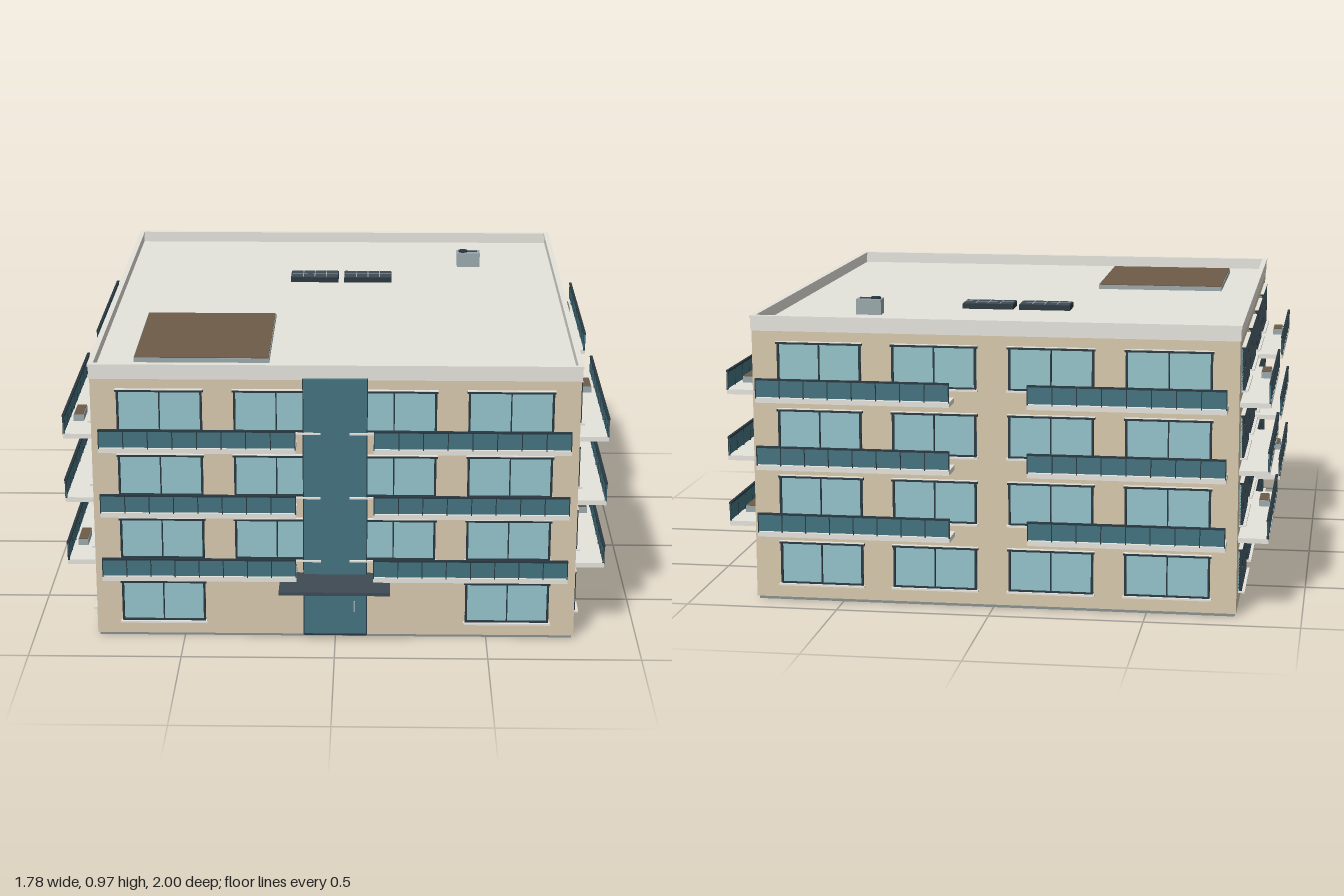
import * as THREE from 'three';

export function createModel() {
  const model = new THREE.Group();
  model.name = 'apartmentBlock';

  const mat = (name, color) => {
    const m = new THREE.MeshStandardMaterial({ color });
    m.name = name;
    return m;
  };
  const wall = mat('sandWall', 0xd8c8ad);
  const concrete = mat('lightConcrete', 0xe5e3dc);
  const teal = mat('tealGlass', 0x42727f);
  const pane = mat('paleGlass', 0x93c3ca);
  const frame = mat('darkFrame', 0x293840);
  const soil = mat('brownSoil', 0x6d5c47);
  const slate = mat('slate', 0x3e4a54);
  const base = mat('baseGrey', 0x889090);
  const metal = mat('metal', 0x9aa8ab);

  // Box given by its minimum and maximum on each axis
  const box = (parent, name, material, x0, x1, y0, y1, z0, z1) => {
    const m = new THREE.Mesh(new THREE.BoxGeometry(x1 - x0, y1 - y0, z1 - z0), material);
    m.position.set((x0 + x1) / 2, (y0 + y1) / 2, (z0 + z1) / 2);
    m.name = name;
    parent.add(m);
  };

  const HX = 0.79, HZ = 0.865, CZ = -0.035; // half sizes and centre of the body
  const FLOOR = 0.221;

  // Body, base and roof, built around the body's own centre
  const body = new THREE.Group();
  body.name = 'body';
  body.position.z = CZ;
  model.add(body);
  box(body, 'plinth', base, -HX + 0.006, HX - 0.006, 0, 0.01, -HZ + 0.006, HZ - 0.006);
  box(body, 'walls', wall, -HX, HX, 0.01, 0.897, -HZ, HZ);
  box(body, 'roofDeck', concrete, -HX, HX, 0.897, 0.908, -HZ, HZ);

  // Parapet ring
  const ring = (name, hx, hz, t, y0, y1) => {
    for (const s of [-1, 1]) {
      const a = s * hx, b = s * (hx - t), c = s * hz, d = s * (hz - t);
      box(body, name, concrete, Math.min(a, b), Math.max(a, b), y0, y1, -hz, hz);
      box(body, name, concrete, -hx + t, hx - t, y0, y1, Math.min(c, d), Math.max(c, d));
    }
  };
  ring('parapet', HX + 0.003, HZ + 0.003, 0.012, 0.897, 0.938);
  ring('coping', HX + 0.006, HZ + 0.006, 0.018, 0.938, 0.947);

  // Window with two panes; z = 0 is the wall face
  const addWindow = (face, u, top, w) => {
    const g = new THREE.Group();
    g.name = 'window';
    g.position.set(u, top - 0.142, 0);
    face.add(g);
    const h = 0.142, r = w / 2, t = 0.007;
    box(g, 'panes', pane, -r, r, 0, h, 0, 0.005);
    for (const s of [-1, 1]) box(g, 'frameSide', frame, s * (r - t / 2) - t / 2, s * (r - t / 2) + t / 2, 0, h, 0, 0.012);
    box(g, 'mullion', frame, -0.002, 0.002, 0, h, 0, 0.012);
    box(g, 'frameTop', frame, -r - 0.004, r + 0.004, h - t, h, 0, 0.012);
    box(g, 'headCap', concrete, -r - 0.004, r + 0.004, h, h + 0.002, 0, 0.013);
    box(g, 'frameBottom', frame, -r, r, 0, t, 0, 0.012);
    box(g, 'sill', concrete, -r - 0.005, r + 0.005, -0.004, 0.002, 0, 0.022);
  };

  // Balcony slab with glazed railing along its outer edge
  const addBalcony = (face, u, level, half, planted) => {
    const g = new THREE.Group();
    g.name = 'balcony';
    g.position.set(u, 0.236 + (level - 1) * FLOOR, 0);
    face.add(g);
    box(g, 'slab', concrete, -half, half, 0, 0.016, 0, 0.098);
    box(g, 'railGlass', teal, -half, half, 0.019, 0.074, 0.093, 0.097);
    box(g, 'handrail', frame, -half, half, 0.073, 0.079, 0.091, 0.1);
    for (let i = 0; i <= 8; i++) {
      const x = -half + 0.0015 + (i / 8) * (2 * half - 0.003);
      box(g, 'railPost', frame, x - 0.0015, x + 0.0015, 0.014, 0.074, 0.092, 0.0985);
    }
    if (planted) {
      box(g, 'planter', metal, 0.115, 0.215, 0.016, 0.037, 0.045, 0.079);
      box(g, 'planterSoil', soil, 0.117, 0.213, 0.037, 0.04, 0.047, 0.077);
    }
  };

  // The four facades; u runs to the right as seen from outside
  const longSide = { wins: [-0.567, -0.19, 0.19, 0.567], w: 0.276, bals: [-0.441, 0.441], half: 0.316 };
  const shortSide = (s) => ({
    wins: [-0.65, -0.24, 0.17, 0.585].map((z) => s * (z - CZ)), w: 0.3,
    bals: [-0.517, 0.442].map((z) => s * (z - CZ)), half: 0.345,
  });
  const faces = [
    { name: 'frontFacade', dist: HZ, ...longSide },
    { name: 'leftFacade', dist: HX, ...shortSide(-1) },
    { name: 'backFacade', dist: HZ, ...longSide },
    { name: 'rightFacade', dist: HX, ...shortSide(1) },
  ];
  faces.forEach((f, turn) => {
    const pivot = new THREE.Group();
    pivot.rotation.y = (turn * Math.PI) / 2;
    pivot.name = f.name;
    body.add(pivot);
    const face = new THREE.Group();
    face.position.z = f.dist;
    pivot.add(face);
    for (let level = 0; level < 4; level++) {
      for (const u of f.wins) {
        if (turn === 0 && level === 0 && Math.abs(u) < 0.3) continue; // entrance
        addWindow(face, u, 0.2 + level * FLOOR, f.w);
      }
      if (level > 0) for (const u of f.bals) addBalcony(face, u, level, f.half, level !== 2);
    }
  });

  // Glazed stair front with entrance door and canopy
  const entrance = new THREE.Group();
  entrance.name = 'entrance';
  model.add(entrance);
  box(entrance, 'stairGlazing', teal, -0.102, 0.102, 0.018, 0.9, 0.82, 0.846);
  for (const s of [-1, 1]) box(entrance, 'stairFrameSide', frame, s * 0.1035 - 0.0015, s * 0.1035 + 0.0015, 0.014, 0.903, 0.82, 0.847);
  box(entrance, 'stairFrameTop', teal, -0.102, 0.102, 0.9, 0.903, 0.82, 0.847);
  box(entrance, 'threshold', frame, -0.102, 0.102, 0.012, 0.018, 0.82, 0.847);
  box(entrance, 'doorHandle', metal, 0.061, 0.065, 0.1, 0.135, 0.846, 0.854);
  box(entrance, 'canopy', slate, -0.18, 0.18, 0.219, 0.23, 0.83, 1.0);

  // Roof fittings
  const roof = new THREE.Group();
  roof.name = 'roofFittings';
  model.add(roof);
  box(roof, 'roofBedEdge', metal, -0.662, -0.218, 0.908, 0.923, 0.166, 0.687);
  box(roof, 'roofBed', soil, -0.66, -0.22, 0.923, 0.926, 0.168, 0.685);

  for (const cx of [-0.0975, 0.0975]) {
    const p = new THREE.Group();
    p.name = 'solarPanel';
    p.position.set(cx, 0.922, -0.348);
    roof.add(p);
    box(p, 'panelFrame', frame, -0.087, 0.087, -0.014, 0.004, -0.046, 0.046);
    box(p, 'panelCells', slate, -0.084, 0.084, 0.004, 0.006, -0.043, 0.043);
    for (const x of [-0.042, 0, 0.042]) box(p, 'panelLine', metal, x - 0.0015, x + 0.0015, 0.006, 0.007, -0.043, 0.043);
    box(p, 'panelLine', metal, -0.084, 0.084, 0.006, 0.007, -0.0015, 0.0015);
  }

  box(roof, 'ventUnit', metal, 0.43, 0.515, 0.908, 0.96, -0.58, -0.528);
  const fan = new THREE.Mesh(new THREE.CylinderGeometry(0.017, 0.017, 0.006, 20), frame);
  fan.position.set(0.452, 0.963, -0.554);
  fan.name = 'ventFan';
  roof.add(fan);
  box(roof, 'ventPipe', slate, 0.465, 0.505, 0.96, 0.964, -0.559, -0.549);

  return model;
}
